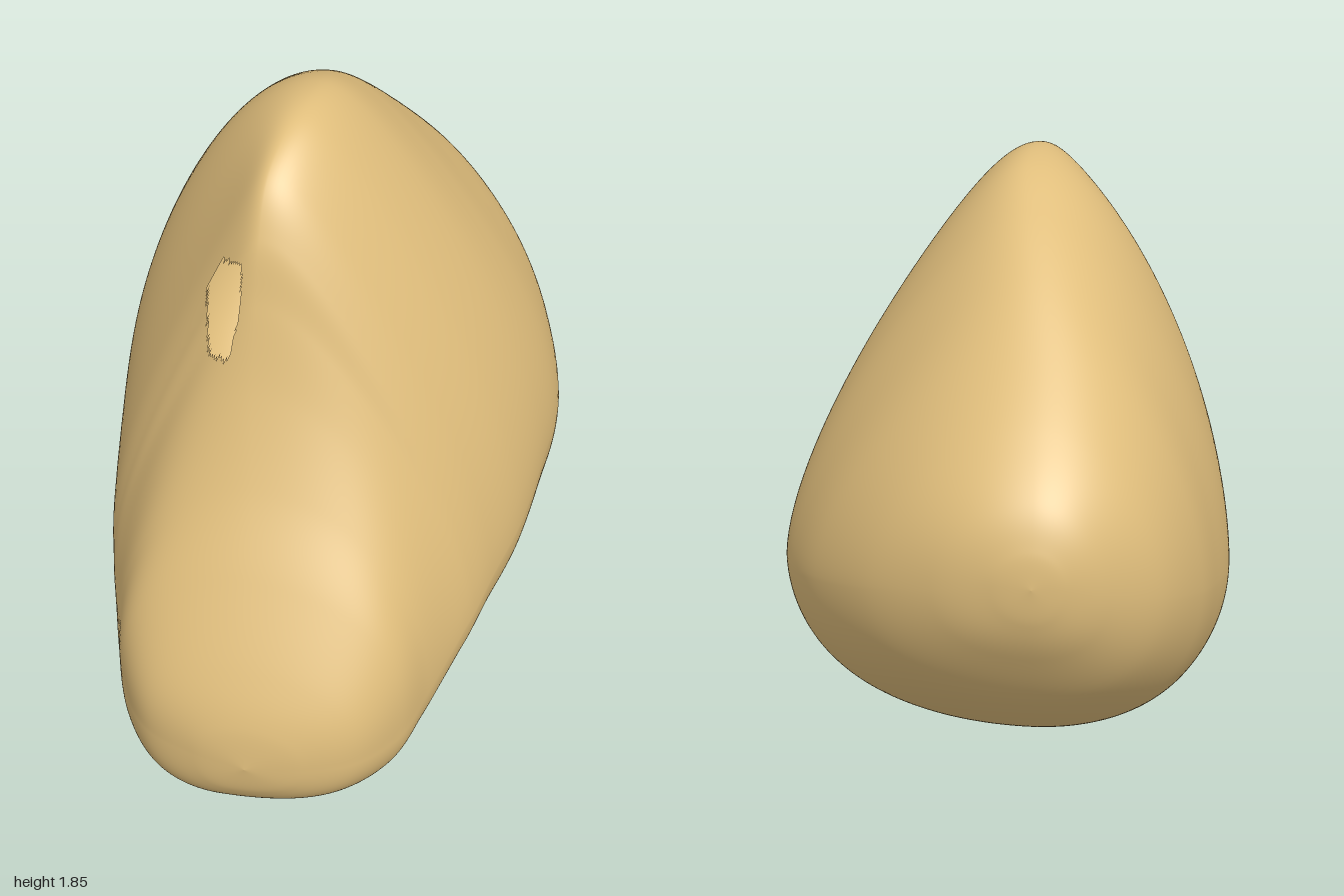
import * as THREE from 'three';

// Cross-sections from front to back:
// z, top y, bottom y, widest y, -x edge, +x edge, ridge x, taper of the upper half
const SECTIONS = [
  [1, 0.22, 0.22, 0.22, -0.02, -0.02, -0.02, -0.1],
  [0.98, 0.35, 0.12, 0.23, -0.17, 0.14, -0.02, -0.15],
  [0.92, 0.495, 0.045, 0.24, -0.32, 0.28, -0.03, -0.2],
  [0.8, 0.72, 0, 0.26, -0.42, 0.38, -0.05, -0.2],
  [0.68, 0.94, 0.015, 0.32, -0.47, 0.43, -0.07, -0.02],
  [0.58, 1.18, 0.055, 0.38, -0.505, 0.47, -0.09, 0.2],
  [0.51, 1.42, 0.09, 0.43, -0.53, 0.5, -0.095, 0.42],
  [0.46, 1.6, 0.115, 0.46, -0.545, 0.52, -0.095, 0.49],
  [0.37, 1.745, 0.145, 0.52, -0.57, 0.55, -0.09, 0.5],
  [0.2, 1.835, 0.18, 0.6, -0.6, 0.6, -0.06, 0.49],
  [0, 1.835, 0.2, 0.69, -0.625, 0.625, -0.045, 0.48],
  [-0.2, 1.755, 0.235, 0.72, -0.635, 0.63, -0.06, 0.45],
  [-0.4, 1.64, 0.29, 0.77, -0.61, 0.58, -0.09, 0.4],
  [-0.6, 1.5, 0.41, 0.83, -0.57, 0.485, -0.12, 0.28],
  [-0.8, 1.345, 0.58, 0.9, -0.48, 0.32, -0.13, 0.15],
  [-0.93, 1.215, 0.765, 0.96, -0.34, 0.13, -0.14, 0],
  [-0.985, 1.1, 0.89, 1, -0.23, -0.03, -0.14, 0],
  [-1, 1, 1, 1, -0.14, -0.14, -0.14, 0],
];

// Outline of the small opening in the front, in x and y
const OPENING = [[-0.14, 1.53], [-0.21, 1.5], [-0.25, 1.41], [-0.225, 1.26], [-0.165, 1.26], [-0.14, 1.39]];

function inOpening(x, y) {
  let inside = false;
  OPENING.forEach(([ax, ay], i) => {
    const [bx, by] = OPENING[(i + 1) % OPENING.length];
    if ((ay > y) !== (by > y) && x < ax + ((y - ay) / (by - ay)) * (bx - ax)) inside = !inside;
  });
  return inside;
}

// Smooth interpolation of one column of the sections
function sample(u, column) {
  const last = SECTIONS.length - 1;
  const i = Math.min(Math.floor(u), last - 1);
  const t = u - i;
  const at = (k) => SECTIONS[THREE.MathUtils.clamp(k, 0, last)][column];
  const [a, b, c, d] = [at(i - 1), at(i), at(i + 1), at(i + 2)];
  return b + 0.5 * t * (c - a + t * (2 * a - 5 * b + 4 * c - d + t * (3 * (b - c) + d - a)));
}

function bodyGeometry(rings, sides) {
  const positions = [];
  const indices = [];

  for (let i = 0; i <= rings; i++) {
    const u = (i / rings) * (SECTIONS.length - 1);
    const [z, top, bottom, mid, minX, maxX, ridge, taper] = SECTIONS[0].map((_, k) => sample(u, k));
    // The foot has a boxier underside whose lowest line lies to one side
    const foot = THREE.MathUtils.smoothstep(z, 0.4, 0.8);
    const keel = ridge - 0.16 * foot * (maxX - minX);
    // The -x flank is fuller at the back and pinched in towards the front
    const flank = 0.42 + 0.9 * THREE.MathUtils.smoothstep(z, 0, 0.45);
    for (let j = 0; j < sides; j++) {
      const angle = (j / sides) * Math.PI * 2;
      const c = Math.cos(angle);
      const s = Math.sin(angle);
      const centre = s > 0 ? ridge : keel;
      const pinch = s > 0
        ? taper * (c > 0 ? 1 : flank) * Math.pow(s, 1.4)
        : -(0.12 + 0.1 * foot) * s * s;
      positions.push(
        centre + c * (1 - pinch) * (c > 0 ? maxX - centre : centre - minX),
        mid + s * (s > 0 ? top - mid : mid - bottom),
        z
      );
    }
  }

  for (let i = 0; i < rings; i++) {
    for (let j = 0; j < sides; j++) {
      const k = (j + 1) % sides;
      const a = i * sides + j;
      const b = i * sides + k;
      const c = a + sides;
      const d = b + sides;
      for (const tri of [[a, c, b], [b, c, d]]) {
        const mean = (axis) => tri.reduce((sum, v) => sum + positions[v * 3 + axis] / 3, 0);
        // Leave the opening uncovered
        if (mean(2) > 0.3 && inOpening(mean(0), mean(1))) continue;
        indices.push(...tri);
      }
    }
  }

  const geometry = new THREE.BufferGeometry();
  geometry.setAttribute('position', new THREE.Float32BufferAttribute(positions, 3));
  geometry.setIndex(indices);
  geometry.computeVertexNormals();
  return geometry;
}

export function createModel() {
  const group = new THREE.Group();
  group.name = 'roundedStone';

  const tan = new THREE.MeshStandardMaterial({ color: 0xe0be7c, side: THREE.DoubleSide });
  tan.name = 'tan';

  // Hollow smooth body with a small opening
  const body = new THREE.Mesh(bodyGeometry(255, 192), tan);
  body.name = 'body';
  group.add(body);
  return group;
}
